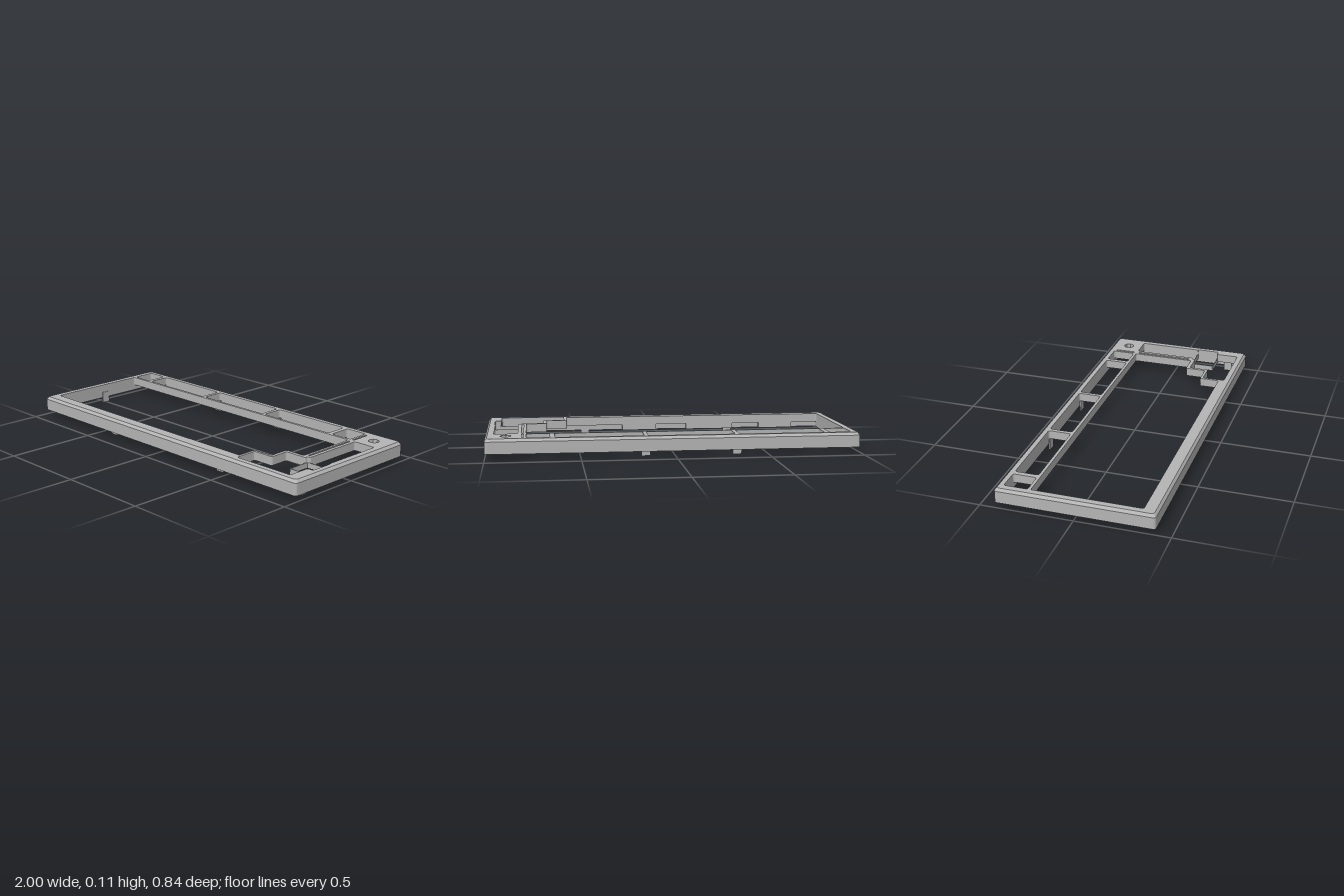
import * as THREE from 'three';

const grey = new THREE.MeshStandardMaterial({ color: 0xb4b4b4 });
grey.name = 'warm grey';

// Closed counter-clockwise outline from (x, z) points with softened corners
function outline(points, r, Type = THREE.Path) {
  const p = points.map(([x, z]) => new THREE.Vector2(x, -z)).reverse();
  const path = new Type();
  p.forEach((c, i) => {
    const a = p[(i + p.length - 1) % p.length], b = p[(i + 1) % p.length];
    const toward = (q) => c.clone().lerp(q, Math.min(r / c.distanceTo(q), 0.45));
    const s = toward(a), e = toward(b);
    if (i === 0) path.moveTo(s.x, s.y); else path.lineTo(s.x, s.y);
    path.quadraticCurveTo(c.x, c.y, e.x, e.y);
  });
  path.closePath();
  return path;
}
const rect = (x0, x1, z0, z1) => [[x0, z0], [x1, z0], [x1, z1], [x0, z1]];

// Horizontal slab between two heights
function slab(holes, y0, y1) {
  const shape = outline(rect(-1, 1, -0.42, 0.42), 0.018, THREE.Shape);
  shape.holes.push(...holes);
  const g = new THREE.ExtrudeGeometry(shape, { depth: y1 - y0, bevelEnabled: false, curveSegments: 4 });
  return g.rotateX(-Math.PI / 2).translate(0, y0, 0);
}

export function createModel() {
  const group = new THREE.Group();
  group.name = 'keyboardTopFrame';
  const add = (name, geometry) => {
    const m = new THREE.Mesh(geometry, grey);
    m.name = name;
    group.add(m);
    return m;
  };
  const box = (name, x0, x1, y0, y1, z0, z1) =>
    add(name, new THREE.BoxGeometry(x1 - x0, y1 - y0, z1 - z0))
      .position.set((x0 + x1) / 2, (y0 + y1) / 2, (z0 + z1) / 2);

  // Openings: function row, main key field, arrow and side column, slits, knob
  const openings = () => {
    const holes = [[-0.955, -0.837], [-0.81, -0.345], [-0.323, 0.142], [0.163, 0.634], [0.66, 0.783]]
      .map(([a, b]) => outline(rect(a, b, -0.382, -0.254), 0.014));
    holes.push(outline([[-0.955, -0.238], [0.783, -0.238], [0.783, 0.118], [0.667, 0.118],
      [0.667, 0.235], [0.551, 0.235], [0.551, 0.348], [-0.955, 0.348]], 0.01));
    holes.push(outline([[0.828, -0.238], [0.955, -0.238], [0.955, 0.118], [0.96, 0.118], [0.96, 0.25],
      [0.925, 0.25], [0.925, 0.378], [0.567, 0.378], [0.567, 0.25], [0.685, 0.25], [0.685, 0.138],
      [0.81, 0.138], [0.81, 0.118], [0.828, 0.118]], 0.012));
    holes.push(outline(rect(0.797, 0.808, -0.37, -0.254), 0.002));
    holes.push(outline(rect(0.797, 0.808, -0.225, 0.1), 0.002));
    const knob = new THREE.Path();
    knob.absarc(0.89, 0.318, 0.03, 0, Math.PI * 2, false);
    holes.push(knob);
    return holes;
  };

  // Outer wall, face plate and its chamfered top edge
  add('outerSkirt', slab([outline(rect(-0.955, 0.96, -0.382, 0.378), 0.008)], 0.03, 0.062));
  add('facePlate', slab(openings(), 0.062, 0.095));
  const top = slab(openings(), 0.095, 0.11);
  const pos = top.attributes.position;
  for (let i = 0; i < pos.count; i++) {
    if (pos.getY(i) < 0.109) continue;
    const x = pos.getX(i), z = pos.getZ(i);
    if (Math.abs(x) > 0.98 || Math.abs(z) > 0.4) {
      pos.setX(i, x * 0.988);
      pos.setZ(i, z * (1 - 0.012 / 0.42));
    }
  }
  top.computeVertexNormals();
  add('chamferedTop', top);

  // Ledges under the front lip
  for (const [x, w] of [[0.12, 0.2], [-0.3, 0.28], [-0.7, 0.2]])
    box('frontLedge', x - w / 2, x + w / 2, 0.03, 0.062, 0.352, 0.378);

  // Thin dividers around the corner key
  box('cornerDivider', 0.81, 0.96, 0.05, 0.08, 0.116, 0.12);
  box('cornerDivider', 0.81, 0.96, 0.05, 0.08, 0.248, 0.252);
  box('cornerDivider', 0.808, 0.812, 0.05, 0.08, 0.12, 0.248);

  // Hanging clips, some with a small round detent
  const clip = (x, z, turn, detent) => {
    const c = new THREE.Group();
    c.name = 'clip';
    const tab = new THREE.Mesh(new THREE.BoxGeometry(0.048, 0.064, 0.008), grey);
    tab.name = 'clipTab';
    tab.position.y = 0.032;
    c.add(tab);
    if (detent) {
      const bump = new THREE.Mesh(new THREE.SphereGeometry(0.009, 16, 10).scale(1, 1, 0.4), grey);
      bump.name = 'clipDetent';
      bump.position.set(0, 0.013, 0.004);
      c.add(bump);
    }
    c.position.set(x, 0, z);
    c.rotation.y = turn;
    group.add(c);
  };
  clip(-0.41, 0.374, 0, true);
  clip(0.44, 0.374, 0, true);
  clip(-0.335, -0.374, Math.PI, false);
  clip(0.155, -0.374, Math.PI, false);
  clip(-0.953, 0, -Math.PI / 2, false);
  clip(0.953, 0.315, Math.PI / 2, true);

  return group;
}
